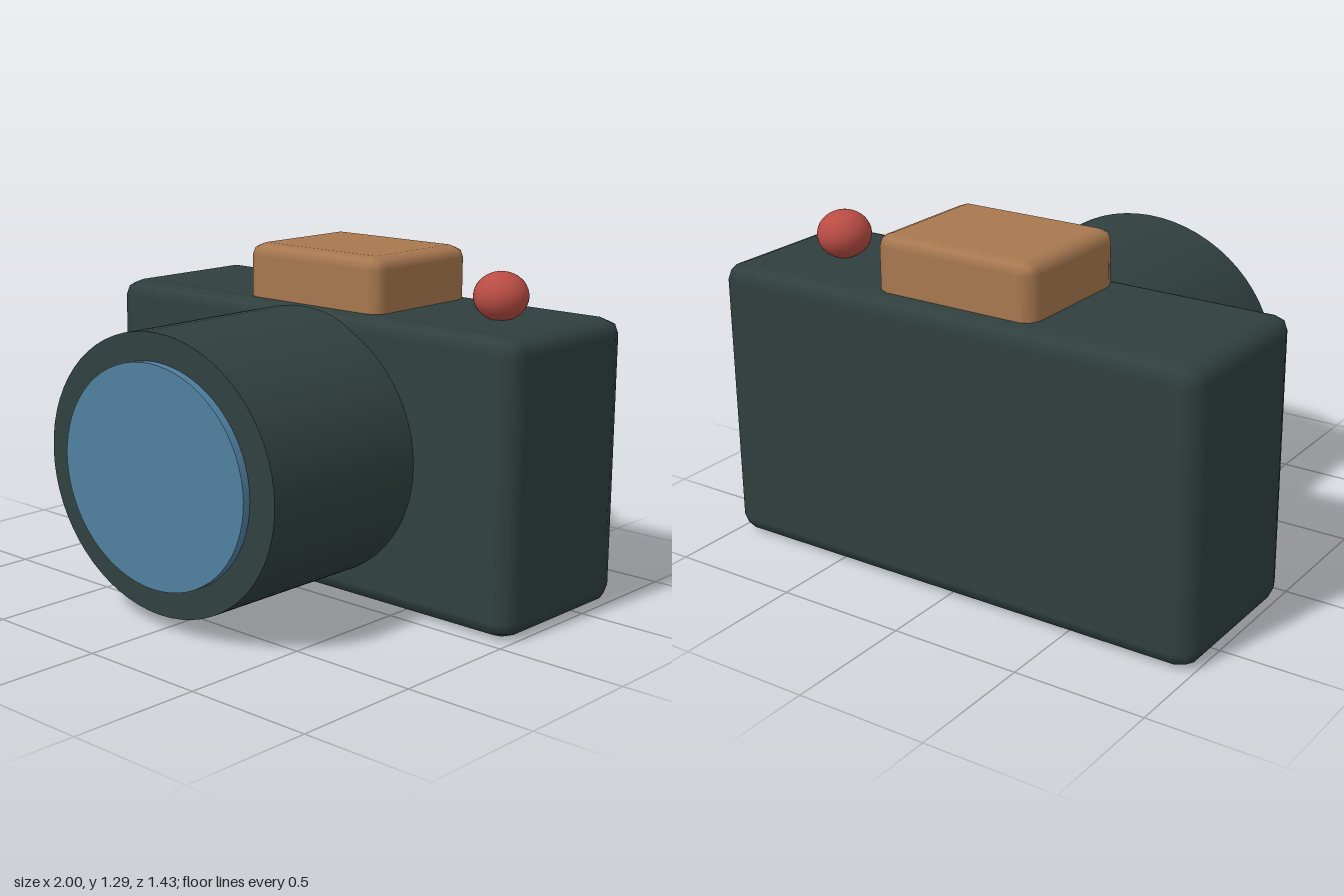
import * as THREE from 'three';
import { RoundedBoxGeometry } from 'three/addons/geometries/RoundedBoxGeometry.js';

const SQUASH = 0.9; // vertical scale shared by all parts

function material(name, color) {
  const m = new THREE.MeshStandardMaterial({ color });
  m.name = name;
  return m;
}

// Box with softened edges, spanning the given ranges
function softBox([x0, x1], [y0, y1], [z0, z1], radius) {
  const g = new RoundedBoxGeometry(x1 - x0, (y1 - y0) / SQUASH, z1 - z0, 1, radius);
  g.scale(1, SQUASH, 1);
  return g.translate((x0 + x1) / 2, (y0 + y1) / 2, (z0 + z1) / 2);
}

// Disc or barrel lying along z
function barrel(radius, y, z0, z1) {
  const g = new THREE.CylinderGeometry(radius, radius, z1 - z0, 64);
  g.rotateX(Math.PI / 2).scale(1, SQUASH, 1);
  return g.translate(0, y, (z0 + z1) / 2);
}

export function createModel() {
  const group = new THREE.Group();
  group.name = 'camera';
  const dark = material('dark slate', 0x30403f);
  const tan = material('tan', 0xa87850);
  const blue = material('glass blue', 0x5080a0);
  const red = material('red', 0xb84c44);

  const add = (name, geometry, mat) => {
    const mesh = new THREE.Mesh(geometry, mat);
    mesh.name = name;
    group.add(mesh);
  };

  add('body', softBox([-1, 1], [0, 1.08], [-0.713, -0.035], 0.07), dark);
  add('lensBarrel', barrel(0.57, 0.57, -0.062, 0.682), dark);
  add('lensGlass', barrel(0.455, 0.57, 0.64, 0.713), blue);
  add('viewfinder', softBox([-0.33, 0.33], [0.99, 1.287], [-0.64, -0.105], 0.052), tan);

  // Shutter button on top
  const button = new THREE.SphereGeometry(0.1, 32, 20);
  button.scale(1, SQUASH, 1.03).translate(0.685, 1.16, -0.375);
  add('shutterButton', button, red);
  return group;
}
